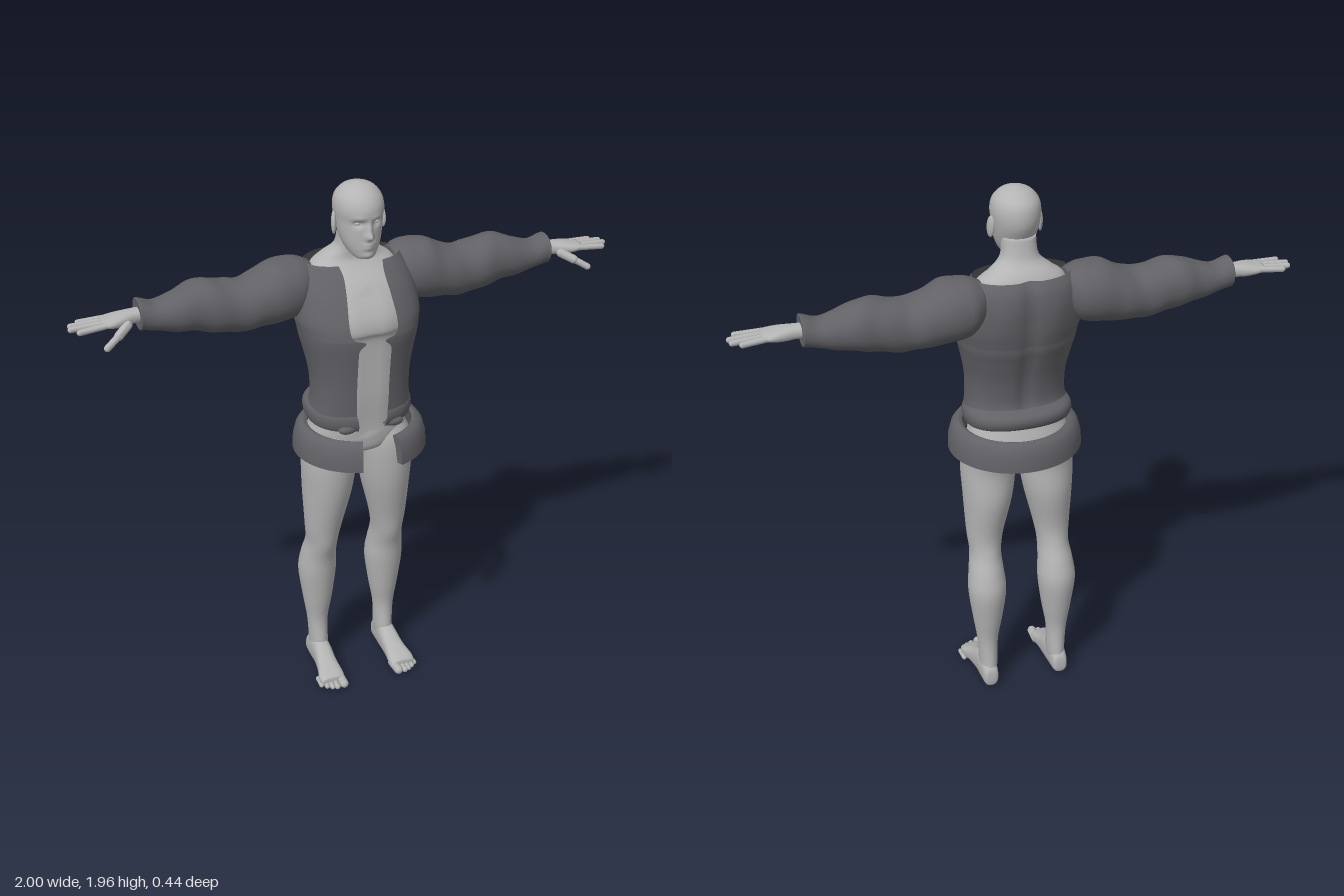
import * as THREE from 'three';
import { toCreasedNormals, mergeGeometries } from 'three/addons/utils/BufferGeometryUtils.js';

const skin = new THREE.MeshStandardMaterial({ color: 0xb4b4b4 });
skin.name = 'pale grey skin';
const cloth = new THREE.MeshStandardMaterial({ color: 0x626166, side: THREE.DoubleSide });
cloth.name = 'dark grey cloth';

const bell = (d, w) => Math.exp(-(d * d) / (w * w));

// Smooth in-between rows through the given cross-sections
function resample(rows, steps) {
  const out = [];
  for (let i = 0; i < rows.length - 1; i++) {
    const a = rows[Math.max(i - 1, 0)], b = rows[i], c = rows[i + 1], d = rows[Math.min(i + 2, rows.length - 1)];
    for (let s = 0; s < steps; s++) {
      const t = s / steps;
      out.push(b.map((_, k) => 0.5 * (2 * b[k] + (c[k] - a[k]) * t + (2 * a[k] - 5 * b[k] + 4 * c[k] - d[k]) * t * t
        + (3 * b[k] - a[k] - 3 * c[k] + d[k]) * t * t * t)));
    }
  }
  out.push(rows[rows.length - 1]);
  return out;
}

// Rounded sections along an axis: [position, min a, max a, min b, max b, front gap half-width]
function loft(rows, { axis = 'y', n = 40, steps = 5, power = 1, tweak, open = false } = {}) {
  const list = resample(rows, steps), pos = [], index = [];
  const put = (t, a, b) => {
    const v = axis === 'y' ? new THREE.Vector3(a, t, b) : axis === 'x' ? new THREE.Vector3(t, a, b) : new THREE.Vector3(a, b, t);
    if (tweak) tweak(v);
    pos.push(v.x, v.y, v.z);
  };
  const face = (a, b, c) => (axis === 'y' ? index.push(a, b, c) : index.push(a, c, b));
  const bend = (v) => Math.sign(v) * Math.abs(v) ** power;
  const w = open ? n + 1 : n;
  for (const [t, a0, a1, b0, b1, gap = 0] of list) {
    const ra = (a1 - a0) / 2, rb = (b1 - b0) / 2;
    const cut = open ? Math.asin(Math.min(1, gap / ra) ** (1 / power)) : 0;
    for (let j = 0; j < w; j++) {
      const p = Math.PI / 2 + cut + (j / n) * (Math.PI * 2 - 2 * cut);
      put(t, (a0 + a1) / 2 + ra * bend(Math.cos(p)), (b0 + b1) / 2 + rb * bend(Math.sin(p)));
    }
  }
  for (let i = 0; i < list.length - 1; i++) {
    for (let j = 0; j < n; j++) {
      const a = i * w + j, b = i * w + (j + 1) % w;
      face(a, a + w, b);
      face(b, a + w, b + w);
    }
  }
  if (!open) {
    for (const [i, first] of [[0, true], [list.length - 1, false]]) {
      const r = list[i], c = pos.length / 3;
      put(r[0], (r[1] + r[2]) / 2, (r[3] + r[4]) / 2);
      for (let j = 0; j < n; j++) {
        const a = i * w + j, b = i * w + (j + 1) % w;
        if (first) face(c, a, b); else face(c, b, a);
      }
    }
  }
  const g = new THREE.BufferGeometry();
  g.setAttribute('position', new THREE.Float32BufferAttribute(pos, 3));
  g.setIndex(index);
  g.computeVertexNormals();
  return g;
}

// Symmetric rows: [y, half width, back z, front z, gap]
const even = (rows) => rows.map(([y, h, ...rest]) => [y, -h, h, ...rest]);

function mirrored(geometry) {
  const g = geometry.clone().scale(-1, 1, 1), ix = g.index.array;
  for (let i = 0; i < ix.length; i += 3) [ix[i + 1], ix[i + 2]] = [ix[i + 2], ix[i + 1]];
  g.computeVertexNormals();
  return g;
}

// Rounded finger or toe between two points
function digit(from, to, r) {
  const a = new THREE.Vector3(...from), b = new THREE.Vector3(...to), d = b.clone().sub(a);
  const g = new THREE.CapsuleGeometry(r, d.length() - r, 5, 10);
  g.applyQuaternion(new THREE.Quaternion().setFromUnitVectors(new THREE.Vector3(0, 1, 0), d.clone().normalize()));
  return g.translate(...a.add(b).multiplyScalar(0.5).toArray());
}

export function createModel() {
  const model = new THREE.Group();
  const add = (name, geometry, material) => {
    const m = new THREE.Mesh(geometry, material);
    m.name = name;
    model.add(m);
  };
  const pair = (name, geometry, material) => {
    add('left' + name, geometry, material);
    add('right' + name, mirrored(geometry), material);
  };

  // Bare torso and neck
  add('torso', loft(even([
    [0.96, 0.05, -0.07, 0.04], [0.985, 0.13, -0.12, 0.075], [1.03, 0.182, -0.148, 0.085], [1.1, 0.172, -0.13, 0.09],
    [1.2, 0.16, -0.1, 0.1], [1.3, 0.165, -0.11, 0.105], [1.42, 0.185, -0.15, 0.112], [1.46, 0.19, -0.16, 0.126],
    [1.52, 0.195, -0.17, 0.113], [1.6, 0.18, -0.172, 0.065], [1.66, 0.148, -0.155, 0.012], [1.69, 0.11, -0.14, -0.005],
    [1.73, 0.066, -0.108, 0.0], [1.8, 0.06, -0.09, 0.015]]), {
    power: 0.88,
    tweak: (v) => { if (v.z > 0.03 && v.y > 1.05 && v.y < 1.6) v.z -= 0.006 * bell(v.x, 0.012); },
  }), skin);

  // Head, with the face shaped by soft bumps
  add('head', loft(even([
    [1.708, 0.018, 0.02, 0.062], [1.716, 0.035, -0.0, 0.08], [1.735, 0.052, -0.045, 0.086], [1.765, 0.066, -0.07, 0.088],
    [1.8, 0.075, -0.09, 0.088], [1.84, 0.081, -0.107, 0.088], [1.88, 0.085, -0.11, 0.092], [1.915, 0.078, -0.1, 0.078],
    [1.942, 0.056, -0.072, 0.05], [1.955, 0.028, -0.042, 0.02], [1.96, 0.004, -0.012, -0.006]]), {
    n: 96, steps: 6,
    tweak: (v) => {
      if (v.z < 0.02) return;
      const x = Math.abs(v.x), { y } = v;
      v.z += 0.024 * bell(x, 0.012) * bell(y - 1.797, 0.013) + 0.014 * bell(x, 0.009) * bell(y - 1.822, 0.02)
        - 0.013 * bell(x - 0.033, 0.016) * bell(y - 1.84, 0.01) + 0.005 * bell(x - 0.032, 0.025) * bell(y - 1.86, 0.008)
        + 0.011 * bell(x, 0.02) * bell(y - 1.762, 0.012) - 0.008 * bell(x, 0.024) * bell(y - 1.762, 0.003)
        + 0.005 * bell(x, 0.02) * bell(y - 1.728, 0.01);
    },
  }), skin);
  pair('Eye', new THREE.SphereGeometry(0.011, 16, 10).scale(1.1, 0.6, 0.8).translate(0.033, 1.84, 0.065), skin);
  pair('Ear', new THREE.SphereGeometry(1, 16, 12).scale(0.009, 0.04, 0.02).rotateX(-0.15).rotateY(0.3)
    .translate(0.087, 1.825, -0.012), skin);

  // Legs
  pair('Leg', loft([
    [0.06, 0.105, 0.168, -0.145, -0.04], [0.1, 0.1, 0.168, -0.14, -0.036], [0.2, 0.097, 0.175, -0.135, -0.045],
    [0.3, 0.08, 0.19, -0.15, -0.03], [0.42, 0.065, 0.205, -0.166, -0.012], [0.5, 0.07, 0.198, -0.15, 0.0],
    [0.57, 0.073, 0.188, -0.125, 0.022], [0.65, 0.06, 0.195, -0.115, 0.038], [0.8, 0.025, 0.203, -0.138, 0.073],
    [0.92, 0.008, 0.208, -0.135, 0.087], [1.0, 0.0, 0.2, -0.147, 0.085], [1.06, 0.01, 0.17, -0.12, 0.065]], { n: 32 }), skin);

  // Feet and toes
  pair('Foot', loft([
    [-0.152, 0.125, 0.152, 0.025, 0.05], [-0.142, 0.11, 0.165, 0.005, 0.085], [-0.09, 0.104, 0.17, 0, 0.115],
    [-0.04, 0.101, 0.172, 0, 0.11], [0.02, 0.1, 0.18, 0, 0.075], [0.07, 0.095, 0.193, 0, 0.05],
    [0.1, 0.1, 0.188, 0.002, 0.036]], { axis: 'z', n: 28, power: 0.8 }), skin);
  const toes = [0, 1, 2, 3, 4].map((i) => {
    const r = i ? 0.012 - i * 0.0007 : 0.017, x = i ? 0.119 + i * 0.0175 : 0.11;
    return digit([x, r, 0.06 - i * 0.004], [x + 0.003, r, 0.133 - i * i * 0.0022], r);
  });
  pair('Toes', mergeGeometries(toes), skin);

  // Hands
  pair('Palm', loft([
    [0.7, 1.55, 1.6, -0.115, -0.055], [0.77, 1.552, 1.6, -0.11, -0.052], [0.82, 1.55, 1.597, -0.116, -0.036],
    [0.86, 1.556, 1.59, -0.12, -0.026], [0.89, 1.562, 1.585, -0.112, -0.032]], { axis: 'x', n: 24, power: 0.85 }), skin);
  const fingers = [[0.965, -0.114], [0.995, -0.091], [1, -0.064], [0.978, -0.03]].map(([tip, z], i) =>
    digit([0.865, 1.574, -0.106 + i * 0.022], [tip - 0.005, 1.568, z], 0.0105));
  fingers.push(digit([0.8, 1.566, -0.045], [0.85, 1.54, -0.008], 0.016), digit([0.845, 1.543, -0.012], [0.895, 1.513, 0.012], 0.012));
  pair('Fingers', mergeGeometries(fingers), skin);

  // Open jacket body, with a spine groove and shoulder blades
  add('jacketBody', loft(even([
    [1.15, 0.185, -0.14, 0.125, 0.058], [1.2, 0.178, -0.126, 0.128, 0.06], [1.28, 0.18, -0.135, 0.134, 0.06],
    [1.36, 0.195, -0.158, 0.143, 0.06], [1.41, 0.207, -0.175, 0.15, 0.058], [1.438, 0.212, -0.18, 0.152, 0.036],
    [1.455, 0.215, -0.184, 0.15, 0.078], [1.5, 0.222, -0.192, 0.136, 0.088], [1.58, 0.213, -0.198, 0.094, 0.08],
    [1.64, 0.192, -0.19, 0.052, 0.074], [1.675, 0.17, -0.168, 0.022, 0.08]]), {
    n: 72, power: 0.86, open: true,
    tweak: (v) => {
      if (v.z < -0.05) v.z += 0.014 * bell(v.x, 0.025) - 0.006 * bell(Math.abs(v.x) - 0.09, 0.04) * bell(v.y - 1.55, 0.08);
    },
  }), cloth);

  // Gathered hem, higher at the back
  add('jacketHem', loft(even([
    [1.105, 0.165, -0.14, 0.1, 0.05], [1.1, 0.186, -0.165, 0.12, 0.05], [1.125, 0.194, -0.178, 0.13, 0.052],
    [1.15, 0.191, -0.17, 0.13, 0.055], [1.168, 0.176, -0.135, 0.122, 0.058]]), {
    n: 72, power: 0.86, open: true, tweak: (v) => { v.y -= 0.1 * v.z; },
  }), cloth);
  pair('HemTab', new THREE.SphereGeometry(1, 18, 12).scale(0.034, 0.017, 0.018).translate(0.088, 1.098, 0.108), cloth);

  // Sleeves with soft folds
  pair('Sleeve', loft([
    [0.15, 1.53, 1.67, -0.165, -0.02], [0.185, 1.495, 1.685, -0.192, 0.006], [0.22, 1.48, 1.69, -0.2, 0.018],
    [0.28, 1.47, 1.688, -0.2, 0.022], [0.34, 1.465, 1.66, -0.193, 0.015], [0.4, 1.46, 1.642, -0.184, 0.009],
    [0.45, 1.462, 1.647, -0.18, 0.004], [0.52, 1.475, 1.66, -0.18, 0.0], [0.58, 1.488, 1.655, -0.174, -0.01],
    [0.64, 1.497, 1.63, -0.16, -0.016], [0.7, 1.512, 1.615, -0.148, -0.024], [0.745, 1.522, 1.628, -0.145, -0.026],
    [0.76, 1.525, 1.63, -0.142, -0.026], [0.758, 1.545, 1.61, -0.122, -0.046]], {
    axis: 'x', n: 40, power: 0.95,
    tweak: (v) => {
      const fold = 1 + 0.022 * Math.sin(v.x * 55 + v.z * 30) * bell(v.x - 0.5, 0.22);
      v.y = 1.565 + (v.y - 1.565) * fold;
      v.z = -0.09 + (v.z + 0.09) * fold;
    },
  }), cloth);

  // Flared waist ring, open at the front
  const profile = [[0.215, 0.978], [0.241, 0.978], [0.239, 1.02], [0.229, 1.058], [0.216, 1.076], [0.2, 1.082], [0.188, 1.076],
    [0.204, 1.035], [0.215, 0.978]].map((p) => new THREE.Vector2(...p));
  const gap = 0.31;
  add('waistRing', toCreasedNormals(new THREE.LatheGeometry(profile, 64, gap, Math.PI * 2 - gap * 2).scale(1, 1, 0.945), 0.6), cloth);
  for (const [name, s] of [['left', 1], ['right', -1]]) {
    const end = new THREE.ShapeGeometry(new THREE.Shape(profile)).rotateY(s * gap - Math.PI / 2).scale(1, 1, 0.945);
    add(name + 'RingEnd', end, cloth);
  }
  return model;
}
